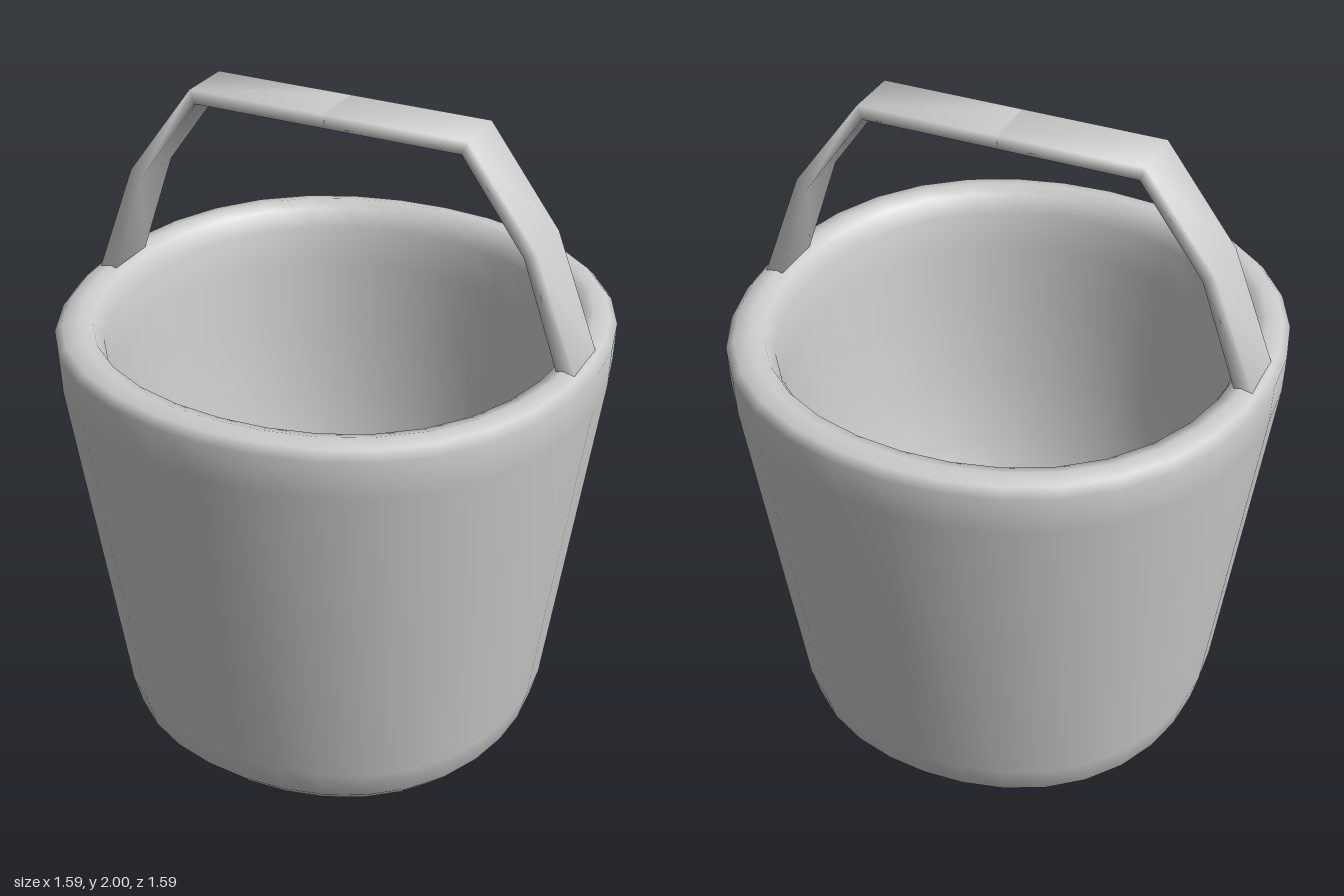
import * as THREE from 'three';
import { mergeVertices } from 'three/addons/utils/BufferGeometryUtils.js';

const material = new THREE.MeshStandardMaterial({ color: 0xcccccc });

// Turned shell, pushed out slightly on the diagonals so it is a little squarish
function makeShell(profile, sides, bulge) {
  const lathe = new THREE.LatheGeometry(profile.map(([r, y]) => new THREE.Vector2(r, y)), sides);
  lathe.deleteAttribute('normal');
  lathe.deleteAttribute('uv');
  const geometry = mergeVertices(lathe);
  const position = geometry.attributes.position;
  for (let i = 0; i < position.count; i++) {
    const x = position.getX(i);
    const z = position.getZ(i);
    const scale = 1 + bulge * Math.sin(2 * Math.atan2(z, x)) ** 2;
    position.setX(i, x * scale);
    position.setZ(i, z * scale);
  }
  geometry.computeVertexNormals();
  return geometry;
}

// Smooth closed bar with a rectangular section, following [outer, inner] point pairs
function makeBar(sections, halfWidth) {
  const positions = [];
  const indices = [];
  for (const [outer, inner] of sections) {
    positions.push(
      ...outer, halfWidth, ...outer, -halfWidth,
      ...inner, -halfWidth, ...inner, halfWidth,
    );
  }
  const last = (sections.length - 1) * 4;
  for (let s = 0; s < last; s += 4) {
    for (let i = 0; i < 4; i++) {
      const j = (i + 1) % 4;
      indices.push(s + i, s + 4 + i, s + 4 + j, s + i, s + 4 + j, s + j);
    }
  }
  indices.push(0, 1, 2, 0, 2, 3);
  indices.push(last, last + 2, last + 1, last, last + 3, last + 2);
  const geometry = new THREE.BufferGeometry();
  geometry.setAttribute('position', new THREE.Float32BufferAttribute(positions, 3));
  geometry.setIndex(indices);
  geometry.computeVertexNormals();
  return geometry;
}

export function createModel() {
  const model = new THREE.Group();
  model.name = 'bucket';

  // Bucket wall: up the outside, over the rolled rim, down to the bowl-shaped floor
  const body = new THREE.Mesh(makeShell([
    [0, 0], [0.3, 0.008], [0.5, 0.02], [0.59, 0.037], [0.632, 0.085], [0.655, 0.18],
    [0.72, 0.68], [0.793, 1.24], [0.797, 1.355], [0.775, 1.38], [0.73, 1.39],
    [0.69, 1.375], [0.662, 1.32], [0.645, 1.2], [0.628, 1],
    [0.597, 0.73], [0.55, 0.5], [0.483, 0.33], [0.39, 0.21], [0.267, 0.146],
    [0.13, 0.125], [0, 0.12],
  ], 32, 0.028), material);
  body.name = 'body';
  model.add(body);

  // Handle: two matching halves meeting at the middle of the grip
  const halfHandle = makeBar([
    [[0, 2], [0, 1.96]],
    [[0.42, 2], [0.405, 1.96]],
    [[0.63, 1.72], [0.595, 1.7]],
    [[0.76, 1.38], [0.705, 1.385]],
  ], 0.083);
  const handle = new THREE.Group();
  handle.name = 'handle';
  for (const side of ['left', 'right']) {
    const half = new THREE.Mesh(halfHandle, material);
    half.name = side + 'HandleHalf';
    if (side === 'right') half.rotation.y = Math.PI;
    handle.add(half);
  }
  model.add(handle);

  return model;
}
